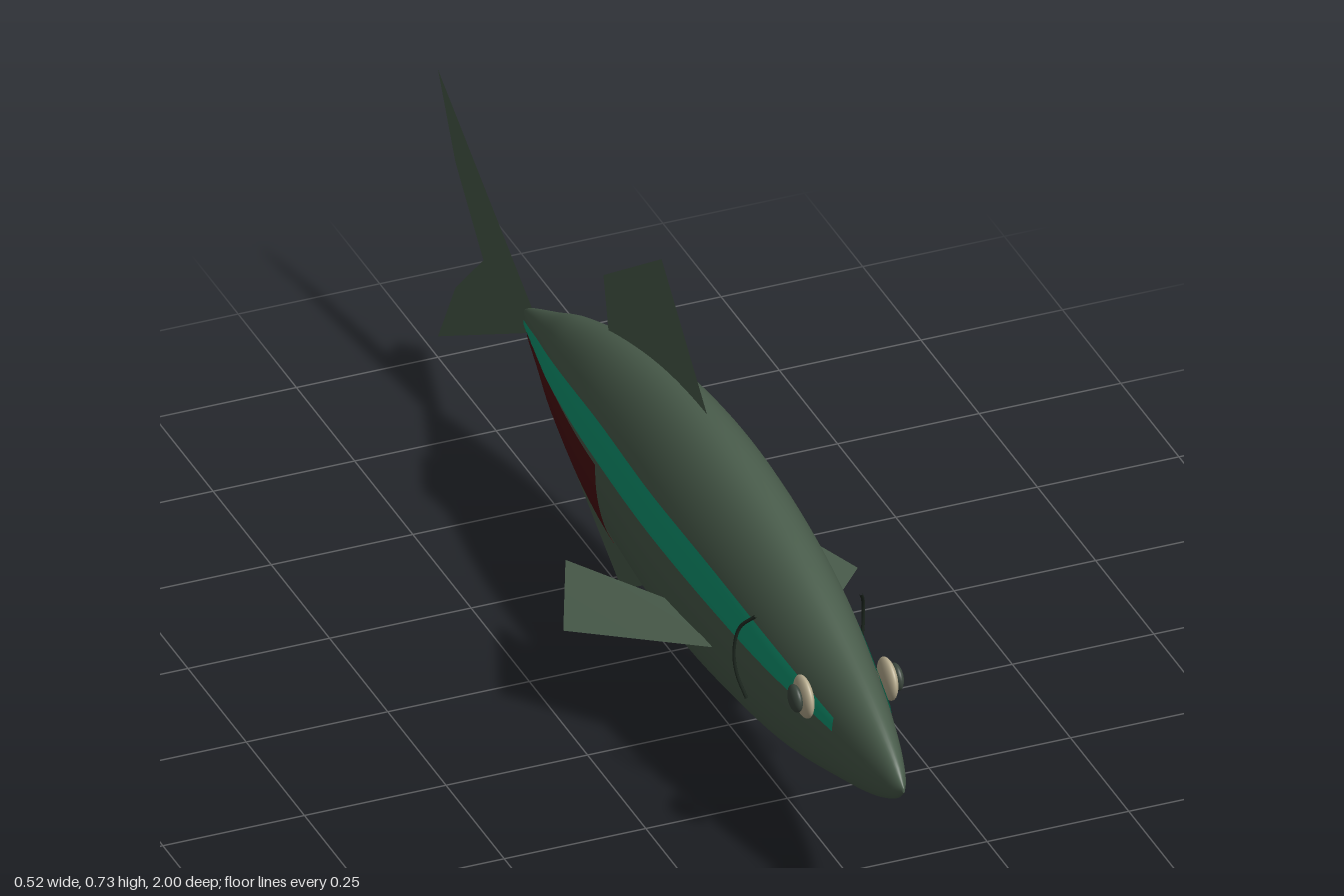
import * as THREE from 'three';

const paint = (name, color, side = THREE.FrontSide) => {
  const m = new THREE.MeshStandardMaterial({ color, side });
  m.name = name;
  return m;
};

// Body stations: z, half height, centre height
const BODY = [
  [-0.625, 0.006, 0.297], [-0.6, 0.022, 0.297], [-0.5, 0.066, 0.301], [-0.4, 0.11, 0.305],
  [-0.2, 0.172, 0.312], [0, 0.206, 0.322], [0.2, 0.2175, 0.3225], [0.4, 0.204, 0.3215],
  [0.6, 0.171, 0.316], [0.8, 0.111, 0.309], [0.9, 0.072, 0.302], [0.97, 0.033, 0.297], [1, 0.004, 0.295],
];
const WIDTH = 0.484; // width to height ratio of the body

// Smooth lookup of column k at z in a table sorted by its first column
function lookup(rows, z, k) {
  const last = rows.length - 1;
  let i = 0;
  while (i < last - 1 && z > rows[i + 1][0]) i++;
  const slope = (j) => {
    const a = rows[Math.max(j - 1, 0)], b = rows[Math.min(j + 1, last)];
    return (b[k] - a[k]) / (b[0] - a[0]);
  };
  const d = rows[i + 1][0] - rows[i][0];
  const t = THREE.MathUtils.clamp((z - rows[i][0]) / d, 0, 1), t2 = t * t, t3 = t2 * t;
  return (2 * t3 - 3 * t2 + 1) * rows[i][k] + (t3 - 2 * t2 + t) * d * slope(i)
    + (3 * t2 - 2 * t3) * rows[i + 1][k] + (t3 - t2) * d * slope(i + 1);
}

// Half width of the body at a given height and station
function bodyX(y, z) {
  const h = lookup(BODY, z, 1), q = (y - lookup(BODY, z, 2)) / h;
  return WIDTH * h * Math.sqrt(Math.max(0, 1 - q * q));
}

function bodyGeometry() {
  const profile = [new THREE.Vector2(0, -0.626)];
  for (let i = 0; i <= 64; i++) {
    const z = 0.1875 - 0.8125 * Math.cos((i / 64) * Math.PI);
    profile.push(new THREE.Vector2(lookup(BODY, z, 1), z));
  }
  profile.push(new THREE.Vector2(0, 1));
  const geo = new THREE.LatheGeometry(profile, 48).rotateX(Math.PI / 2).scale(WIDTH, 1, 1);
  const p = geo.attributes.position;
  for (let i = 0; i < p.count; i++) p.setY(i, p.getY(i) + lookup(BODY, p.getZ(i), 2));
  return geo;
}

// Painted skin lying on the flank; rows are z, lower y, upper y
function skinGeometry(rows, side) {
  const geo = new THREE.PlaneGeometry(1, 1, 60, 10);
  const p = geo.attributes.position, z0 = rows[0][0], z1 = rows[rows.length - 1][0];
  for (let i = 0; i < p.count; i++) {
    const z = THREE.MathUtils.lerp(z0, z1, p.getX(i) + 0.5);
    const y = THREE.MathUtils.lerp(lookup(rows, z, 1), lookup(rows, z, 2), p.getY(i) + 0.5);
    p.setXYZ(i, side * (bodyX(y, z) + 0.003), y, z);
  }
  geo.computeVertexNormals();
  return geo;
}

// Flat fin in the middle plane, outlined by z, y pairs
function finGeometry(outline) {
  const shape = new THREE.Shape(outline.map(([z, y]) => new THREE.Vector2(-z, y)));
  return new THREE.ShapeGeometry(shape).rotateY(Math.PI / 2);
}

export function createModel() {
  const fish = new THREE.Group();
  fish.name = 'fish';
  const skin = paint('dark green skin', 0x4a5d4c);
  const fin = paint('green fin', 0x4a5d4c, THREE.DoubleSide);
  const teal = paint('teal stripe', 0x109a74, THREE.DoubleSide);
  const red = paint('deep red patch', 0x4c0e10, THREE.DoubleSide);
  const cream = paint('cream eye', 0xb8ad90);
  const pupilGreen = paint('dark pupil', 0x3c473e);
  const gillDark = paint('gill line', 0x1e2820);

  const add = (name, geo, mat) => {
    const mesh = new THREE.Mesh(geo, mat);
    mesh.name = name;
    fish.add(mesh);
    return mesh;
  };

  add('body', bodyGeometry(), skin);

  // Fins along the middle
  add('dorsalFin', finGeometry([[0.165, 0.53], [-0.04, 0.727], [-0.29, 0.556], [-0.265, 0.45], [-0.1, 0.48]]), fin);
  add('analFin', finGeometry([[-0.01, 0.13], [-0.21, 0], [-0.495, 0.16], [-0.5, 0.25], [-0.25, 0.18]]), fin);
  add('tailFin', finGeometry([[-0.59, 0.317], [-1, 0.55], [-0.925, 0.415], [-0.805, 0.295],
    [-0.925, 0.175], [-1, 0.04], [-0.59, 0.277]]), fin);

  const stripeRows = [[-0.6, 0.289, 0.3], [-0.4, 0.31, 0.35], [-0.1, 0.337, 0.402], [0.2, 0.343, 0.411],
    [0.4, 0.339, 0.405], [0.6, 0.33, 0.384], [0.82, 0.32, 0.345]];
  const patchRows = [[-0.57, 0.272, 0.294], [-0.45, 0.228, 0.306], [-0.3, 0.19, 0.317], [-0.09, 0.165, 0.327]];

  for (const side of [1, -1]) {
    const label = side > 0 ? 'left' : 'right';
    add(label + 'Stripe', skinGeometry(stripeRows, side), teal);
    add(label + 'RedPatch', skinGeometry(patchRows, side), red);

    // Slanted side fin
    const pectoral = new THREE.BufferGeometry();
    pectoral.setAttribute('position', new THREE.Float32BufferAttribute([
      side * 0.095, 0.26, 0.41, side * 0.26, 0.195, 0.17,
      side * 0.18, 0.208, -0.015, side * 0.095, 0.245, 0.22], 3));
    pectoral.setIndex([0, 1, 2, 0, 2, 3]);
    pectoral.computeVertexNormals();
    add(label + 'PectoralFin', pectoral, fin);

    // Gill line standing just off the cheek
    const gillPath = new THREE.CatmullRomCurve3([[0.093, 0.42, 0.59], [0.109, 0.385, 0.56], [0.114, 0.335, 0.548],
      [0.109, 0.29, 0.548], [0.095, 0.245, 0.555]].map(([x, y, z]) => new THREE.Vector3(side * x, y, z)));
    add(label + 'Gill', new THREE.TubeGeometry(gillPath, 24, 0.003, 6), gillDark);

    // Eye with raised pupil
    const eye = add(label + 'Eye', new THREE.SphereGeometry(0.037, 32, 20), cream);
    eye.scale.x = 0.32;
    eye.position.set(side * 0.074, 0.352, 0.75);
    const pupil = add(label + 'Pupil', new THREE.SphereGeometry(0.024, 28, 16), pupilGreen);
    pupil.scale.x = 0.42;
    pupil.position.set(side * 0.089, 0.352, 0.75);
  }
  return fish;
}
